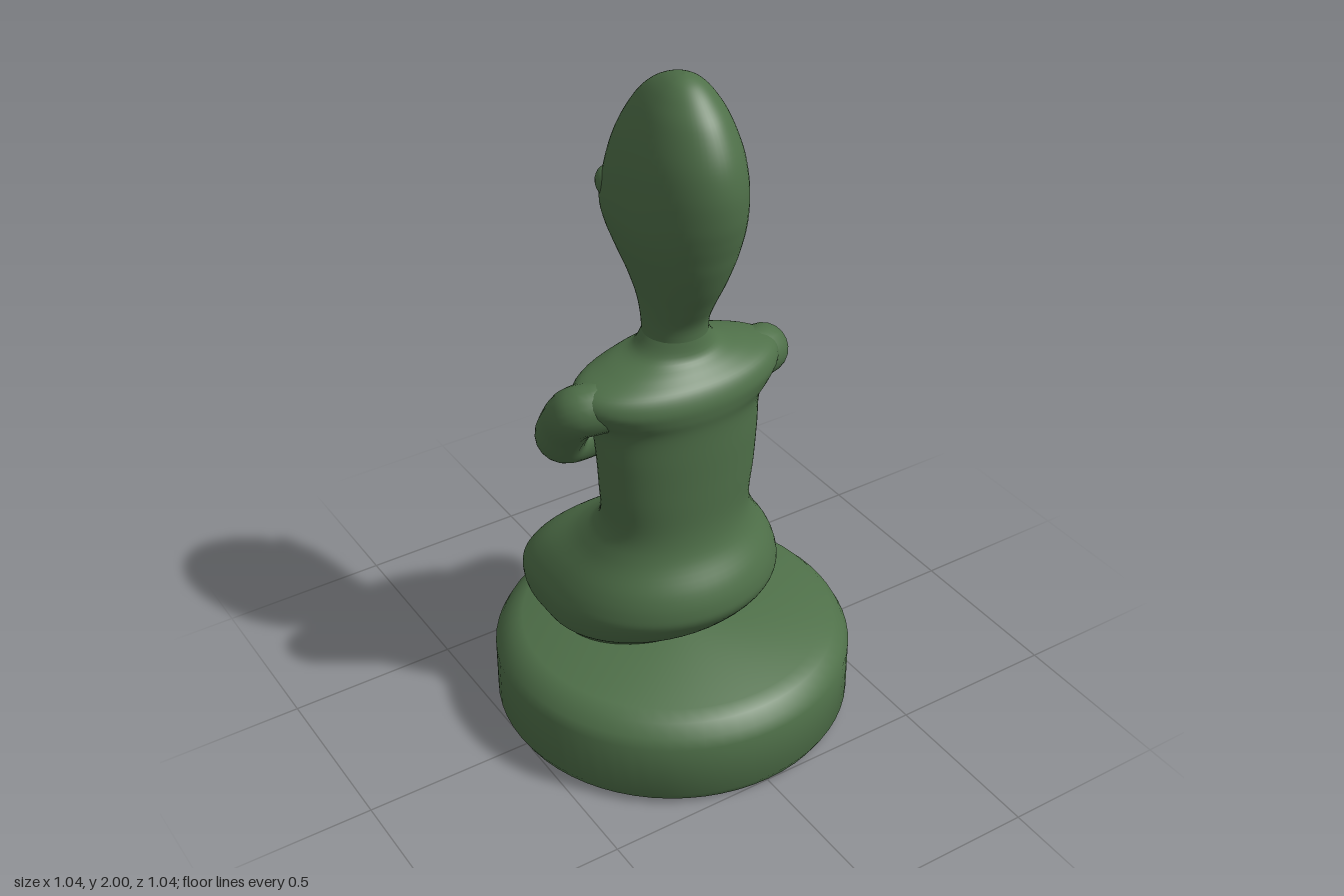
import * as THREE from 'three';
import { toCreasedNormals } from 'three/addons/utils/BufferGeometryUtils.js';

// Catmull-Rom blend of four rows of numbers
function blend(a, b, c, d, t) {
  return b.map((_, k) => 0.5 * (2 * b[k] + (c[k] - a[k]) * t
    + (2 * a[k] - 5 * b[k] + 4 * c[k] - d[k]) * t * t
    + (3 * b[k] - a[k] - 3 * c[k] + d[k]) * t * t * t));
}

// Skin over horizontal sections: [y, half width, z of face side, z of back side, z of widest line, face squareness]
function loft(rows, steps = 5, sides = 56) {
  const sections = [];
  const last = rows.length - 1;
  for (let i = 0; i < last; i++) {
    for (let s = 0; s < steps; s++) {
      sections.push(blend(rows[Math.max(i - 1, 0)], rows[i], rows[i + 1], rows[Math.min(i + 2, last)], s / steps));
    }
  }
  sections.push(rows[last]);
  const pos = [], index = [];
  const pow = (v, p) => Math.sign(v) * Math.abs(v) ** p;
  for (const [y, w, zf, zb, zm, n] of sections) {
    for (let j = 0; j < sides; j++) {
      const a = (j / sides) * Math.PI * 2;
      const c = Math.cos(a), s = Math.sin(a);
      const p = s < 0 ? 2 / n : 1;
      pos.push(Math.max(w, 0) * pow(c, p), y, zm + (s < 0 ? zm - zf : zb - zm) * pow(s, p));
    }
  }
  for (let i = 0; i < sections.length - 1; i++) {
    for (let j = 0; j < sides; j++) {
      const a = i * sides + j, b = i * sides + (j + 1) % sides;
      index.push(a, a + sides, b, b, a + sides, b + sides);
    }
  }
  const geo = new THREE.BufferGeometry();
  geo.setAttribute('position', new THREE.Float32BufferAttribute(pos, 3));
  geo.setIndex(index);
  geo.computeVertexNormals();
  return geo;
}

export function createModel() {
  const model = new THREE.Group();
  model.name = 'kneelingFigure';
  const green = new THREE.MeshStandardMaterial({ color: 0x4f7049 });
  green.name = 'mossGreen';
  const add = (name, geo) => {
    const mesh = new THREE.Mesh(geo, green);
    mesh.name = name;
    model.add(mesh);
    return mesh;
  };

  // Round plinth with softened rims
  const profile = [[0, 0], [0.48, 0], [0.505, 0.008], [0.52, 0.035], [0.52, 0.2], [0.505, 0.228],
    [0.475, 0.26], [0.44, 0.28], [0, 0.283]].map(([r, y]) => new THREE.Vector2(r, y));
  add('plinth', toCreasedNormals(new THREE.LatheGeometry(profile, 64), 0.75));

  // Folded legs, hips, torso, shoulders and neck base
  add('body', loft([
    [0.27, 0.29, -0.32, 0.11, -0.1, 3.5],
    [0.30, 0.315, -0.34, 0.14, -0.1, 3.8],
    [0.34, 0.347, -0.358, 0.19, -0.1, 4],
    [0.41, 0.36, -0.37, 0.247, -0.09, 4],
    [0.46, 0.35, -0.36, 0.255, -0.08, 3.8],
    [0.52, 0.318, -0.315, 0.238, -0.05, 3.4],
    [0.60, 0.262, -0.205, 0.193, -0.01, 2.8],
    [0.68, 0.226, -0.135, 0.178, 0.02, 2.4],
    [0.80, 0.234, -0.125, 0.182, 0.03, 2.3],
    [0.92, 0.242, -0.13, 0.188, 0.03, 2.3],
    [1.02, 0.252, -0.14, 0.192, 0.02, 2.3],
    [1.07, 0.29, -0.15, 0.2, 0.02, 2.2],
    [1.11, 0.315, -0.15, 0.2, 0.02, 2.1],
    [1.15, 0.295, -0.14, 0.182, 0.02, 2],
    [1.18, 0.21, -0.12, 0.148, 0.02, 2],
    [1.21, 0.125, -0.09, 0.115, 0.02, 2],
    [1.26, 0.088, -0.073, 0.104, 0.015, 2],
  ]));

  // Tall egg-shaped head on a slim neck, with a pointed snout
  add('head', loft([
    [1.21, 0.09, -0.075, 0.105, 0.015, 2],
    [1.29, 0.092, -0.08, 0.108, 0.015, 2],
    [1.36, 0.102, -0.1, 0.143, 0.02, 2],
    [1.43, 0.12, -0.13, 0.182, 0.02, 2.1],
    [1.50, 0.141, -0.175, 0.212, 0.02, 2.3],
    [1.55, 0.153, -0.211, 0.228, 0.02, 2.4],
    [1.60, 0.16, -0.225, 0.243, 0.02, 2.5],
    [1.66, 0.16, -0.21, 0.256, 0.02, 2.5],
    [1.74, 0.152, -0.197, 0.26, 0.025, 2.3],
    [1.82, 0.135, -0.172, 0.243, 0.035, 2.1],
    [1.90, 0.105, -0.122, 0.2, 0.045, 2],
    [1.95, 0.076, -0.07, 0.153, 0.05, 2],
    [1.98, 0.049, -0.018, 0.115, 0.055, 2],
    [1.995, 0.024, 0.025, 0.083, 0.057, 2],
    [2.0, 0, 0.058, 0.058, 0.058, 2],
  ]));

  // Small bulging eyes
  for (const side of [-1, 1]) {
    const eye = add(side > 0 ? 'leftEye' : 'rightEye', new THREE.SphereGeometry(1, 20, 14));
    eye.scale.set(0.036, 0.045, 0.04);
    eye.position.set(side * 0.108, 1.655, -0.135);
  }

  // Arms folded across the chest, one continuous loop from shoulder to shoulder
  const half = [[0.17, 1.09, 0.03], [0.265, 1.092, 0.022], [0.3, 1.08, 0], [0.293, 1.0, -0.075],
    [0.272, 0.905, -0.148], [0.235, 0.876, -0.168], [0.12, 0.88, -0.165]];
  const tilt = ([x, y, z]) => new THREE.Vector3(x, y - (y < 0.95 ? x * 0.04 : 0), z - (y < 0.95 ? x * 0.03 : 0));
  const path = [...half.map(([x, y, z]) => tilt([-x, y, z])), ...half.slice().reverse().map(tilt)];
  add('foldedArms', new THREE.TubeGeometry(new THREE.CatmullRomCurve3(path), 110, 0.073, 20));

  return model;
}
